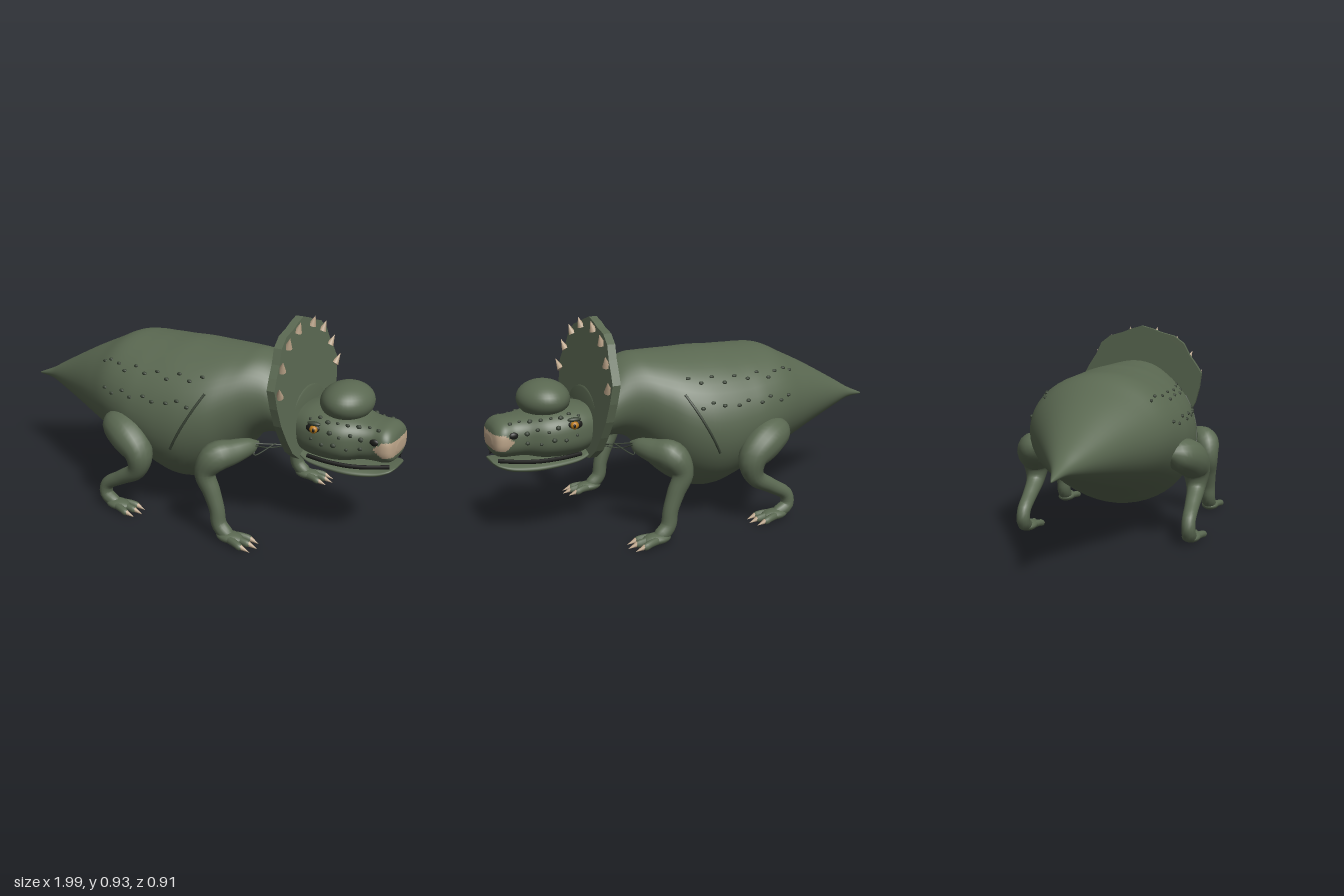
import * as THREE from 'three';
import { mergeVertices } from 'three/addons/utils/BufferGeometryUtils.js';

const mat = (name, color) => Object.assign(new THREE.MeshStandardMaterial({ color }), { name });
const V = (p) => new THREE.Vector3(...p);

// Body sections along x: [x, top y, bottom y, half width]
const BODY = [
  [-1, 0.432, 0.424, 0.003], [-0.9, 0.475, 0.418, 0.035], [-0.8, 0.53, 0.39, 0.085], [-0.6, 0.635, 0.325, 0.19],
  [-0.45, 0.705, 0.275, 0.27], [-0.33, 0.757, 0.235, 0.325], [-0.2, 0.763, 0.185, 0.36], [-0.1, 0.765, 0.14, 0.37],
  [0, 0.77, 0.108, 0.37], [0.1, 0.768, 0.125, 0.357], [0.2, 0.768, 0.19, 0.32], [0.28, 0.768, 0.29, 0.265],
  [0.35, 0.765, 0.37, 0.215], [0.42, 0.735, 0.4, 0.18], [0.5, 0.665, 0.4, 0.165], [0.57, 0.63, 0.4, 0.165],
];
const HEAD = [
  [0.55, 0.56, 0.38, 0.14], [0.62, 0.575, 0.355, 0.165], [0.7, 0.575, 0.35, 0.178], [0.78, 0.565, 0.355, 0.168],
  [0.85, 0.55, 0.37, 0.13], [0.9, 0.545, 0.372, 0.115], [0.95, 0.54, 0.375, 0.118], [0.98, 0.515, 0.39, 0.1],
  [0.992, 0.47, 0.43, 0.05],
];
const JAW = [
  [0.57, 0.385, 0.345, 0.12], [0.65, 0.365, 0.322, 0.148], [0.8, 0.358, 0.305, 0.148], [0.91, 0.356, 0.31, 0.118],
  [0.97, 0.362, 0.333, 0.088], [0.992, 0.364, 0.354, 0.05],
];

// Smooth section at parameter t
function sectionAt(rows, t) {
  const smooth = (pick) => new THREE.CatmullRomCurve3(rows.map(pick), false, 'catmullrom', 0.5).getPoint(t);
  const a = smooth((r) => V([r[0], r[1], r[2]]));
  return [a.x, a.y, a.z, Math.max(0.001, smooth((r) => V([r[3], 0, 0])).x)];
}

// Closed skin through the sections; power above 2 makes them boxier
function loft(rows, steps, sides, power = 2) {
  const pos = [], idx = [];
  const bend = (v) => Math.sign(v) * Math.abs(v) ** (2 / power);
  for (let i = 0; i <= steps; i++) {
    const [x, top, bot, w] = sectionAt(rows, i / steps);
    for (let j = 0; j < sides; j++) {
      const a = (j / sides) * Math.PI * 2;
      pos.push(x, (top + bot) / 2 + bend(Math.cos(a)) * (top - bot) / 2, bend(Math.sin(a)) * w);
      if (i < steps) {
        const p = i * sides + j, q = i * sides + (j + 1) % sides;
        idx.push(p, q, p + sides, q, q + sides, p + sides);
      }
    }
  }
  [0, steps].forEach((i, end) => {
    const [x, top, bot] = sectionAt(rows, i / steps), c = pos.length / 3;
    pos.push(x, (top + bot) / 2, 0);
    for (let j = 0; j < sides; j++) {
      const p = i * sides + j, q = i * sides + (j + 1) % sides;
      idx.push(...(end ? [c, p, q] : [c, q, p]));
    }
  });
  const g = new THREE.BufferGeometry();
  g.setAttribute('position', new THREE.Float32BufferAttribute(pos, 3));
  g.setIndex(idx);
  g.computeVertexNormals();
  return g;
}

// z of a lofted skin at x, y
function skinZ(rows, x, y, power = 2) {
  let lo = 0, hi = 1;
  for (let k = 0; k < 24; k++) {
    const m = (lo + hi) / 2;
    if (sectionAt(rows, m)[0] < x) lo = m; else hi = m;
  }
  const [, top, bot, w] = sectionAt(rows, lo);
  const d = Math.min(1, Math.abs(y - (top + bot) / 2) / ((top - bot) / 2));
  return w * (1 - d ** power) ** (1 / power);
}

// Tube whose radius varies: rows of [x, y, z, radius]
function limb(rows, steps = 40, sides = 16) {
  const curve = new THREE.CatmullRomCurve3(rows.map((r) => V(r.slice(0, 3))));
  const radii = new THREE.CatmullRomCurve3(rows.map((r) => V([r[3], 0, 0])), false, 'catmullrom', 0.5);
  let g = new THREE.TubeGeometry(curve, steps, 1, sides);
  const p = g.attributes.position, v = new THREE.Vector3();
  for (let i = 0; i < p.count; i++) {
    const u = Math.floor(i / (sides + 1)) / steps, c = curve.getPointAt(u);
    v.fromBufferAttribute(p, i).sub(c).multiplyScalar(radii.getPoint(curve.getUtoTmapping(u)).x).add(c);
    p.setXYZ(i, v.x, v.y, v.z);
  }
  g.deleteAttribute('uv');
  g.deleteAttribute('normal');
  g = mergeVertices(g, 1e-5);
  g.computeVertexNormals();
  return g;
}

export function createModel() {
  const root = new THREE.Group();
  const skin = mat('green skin', 0x5a6851), dark = mat('dark wart', 0x3a4436), horn = mat('horn', 0xb9a287);
  const amber = mat('amber eye', 0xb87a1c), black = mat('black', 0x1b1c1a);

  const add = (name, g, m) => {
    const mesh = new THREE.Mesh(g, m);
    mesh.name = name;
    root.add(mesh);
    return mesh;
  };
  const ball = (name, m, [x, y, z], [sx, sy, sz], seg = 10) => {
    const b = add(name, new THREE.SphereGeometry(1, seg * 2, seg), m);
    b.position.set(x, y, z);
    b.scale.set(sx, sy, sz);
    return b;
  };
  const spike = (name, base, tip, r) => {
    const a = V(base), d = V(tip).sub(a);
    const c = add(name, new THREE.ConeGeometry(r, d.length(), 12), horn);
    c.position.copy(a).addScaledVector(d, 0.5);
    c.quaternion.setFromUnitVectors(new THREE.Vector3(0, 1, 0), d.normalize());
  };
  const strand = (name, pts, r, m) =>
    add(name, new THREE.TubeGeometry(new THREE.CatmullRomCurve3(pts.map(V)), 20, r, 6), m);

  add('body', loft(BODY, 72, 48), skin);

  // Head, with the horn patch on the tip of the snout as a second material
  const head = loft(HEAD, 80, 72, 2.5), ix = head.index.array, hp = head.attributes.position;
  const faces = [[], []];
  for (let i = 0; i < ix.length; i += 3) {
    const f = [ix[i], ix[i + 1], ix[i + 2]];
    const x = f.reduce((s, k) => s + hp.getX(k), 0) / 3, y = f.reduce((s, k) => s + hp.getY(k), 0) / 3;
    const reach = 0.034 * THREE.MathUtils.clamp((x - 0.91) / 0.04, 0, 1);
    faces[Math.abs(y - 0.452) < reach ? 1 : 0].push(...f);
  }
  head.setIndex(faces.flat());
  head.addGroup(0, faces[0].length, 0);
  head.addGroup(faces[0].length, faces[1].length, 1);
  add('head', head, [skin, horn]);
  ball('skullDome', skin, [0.745, 0.6, 0], [0.112, 0.083, 0.142], 20);
  add('lowerJaw', loft(JAW, 40, 32), skin);

  // Neck frill, leaning back
  const half = [[0, 0.935], [0.06, 0.918], [0.1, 0.902], [0.17, 0.883], [0.22, 0.845], [0.25, 0.785], [0.285, 0.735],
    [0.312, 0.69], [0.3, 0.61], [0.278, 0.53], [0.24, 0.455], [0.2, 0.39], [0.14, 0.345], [0, 0.33]];
  const rim = [...half, ...half.slice(1, -1).reverse().map(([z, y]) => [-z, y])];
  const frill = new THREE.ExtrudeGeometry(new THREE.Shape(rim.map(([z, y]) => new THREE.Vector2(-z, y))),
    { depth: 0.036, bevelEnabled: false });
  frill.rotateY(Math.PI / 2);
  const lean = (y) => 0.487 + (0.935 - y) * 0.125;
  const fp = frill.attributes.position;
  for (let i = 0; i < fp.count; i++) fp.setX(i, fp.getX(i) + lean(fp.getY(i)));
  frill.computeVertexNormals();
  add('frill', frill, skin);

  const bodyWarts = [[-0.37, 0.655], [-0.33, 0.67], [-0.27, 0.665], [-0.22, 0.645], [-0.17, 0.67], [-0.11, 0.65],
    [-0.05, 0.665], [0.01, 0.645], [0.06, 0.67], [0.12, 0.65], [0.17, 0.67], [-0.31, 0.56], [-0.26, 0.545],
    [-0.2, 0.57], [-0.15, 0.55], [-0.08, 0.565], [-0.03, 0.55], [0.04, 0.555], [0.09, 0.57], [0.14, 0.55]];
  const headWarts = [[0.64, 0.54], [0.68, 0.55], [0.72, 0.54], [0.76, 0.54], [0.8, 0.535], [0.84, 0.53], [0.88, 0.53],
    [0.92, 0.525], [0.74, 0.505], [0.78, 0.49], [0.82, 0.5], [0.86, 0.485], [0.66, 0.465], [0.71, 0.45],
    [0.76, 0.455], [0.81, 0.44], [0.86, 0.445]];

  for (const s of [1, -1]) {
    const side = s > 0 ? 'left' : 'right';
    const flip = (pts) => pts.map(([x, y, z, ...r]) => [x, y, z * s, ...r]);

    // Frill spikes
    [[0.07, 0.882, 0.002], [0.168, 0.838, 0.012], [0.238, 0.758, 0.02], [0.278, 0.66, 0.03]].forEach(([z, y, out]) =>
      spike(side + 'FrillSpike', [lean(y) + 0.038, y, z * s], [lean(y) + 0.052, y + 0.046, (z + out) * s], 0.018));

    // Face
    ball(side + 'EyeSocket', black, [0.665, 0.51, 0.168 * s], [0.032, 0.02, 0.012]);
    ball(side + 'Eye', amber, [0.672, 0.51, 0.178 * s], [0.018, 0.017, 0.016]);
    ball(side + 'Pupil', black, [0.677, 0.51, 0.191 * s], [0.006, 0.009, 0.004]);
    ball(side + 'Brow', dark, [0.67, 0.533, 0.17 * s], [0.03, 0.01, 0.014]);
    ball(side + 'Nostril', black, [0.915, 0.48, 0.112 * s], [0.02, 0.015, 0.01]);
    strand(side + 'MouthLine', flip([[0.635, 0.374, 0.148], [0.72, 0.368, 0.152], [0.82, 0.364, 0.138],
      [0.9, 0.366, 0.11], [0.975, 0.372, 0.075]]), 0.009, black);

    // Warts and the shoulder crease
    bodyWarts.forEach(([x, y], i) =>
      ball(side + 'BodyWart', dark, [x, y, skinZ(BODY, x, y) * s], [0.012, 0.008, 0.007 + 0.002 * (i % 2)], 5));
    headWarts.forEach(([x, y], i) => {
      const r = 0.008 + 0.002 * (i % 3);
      ball(side + 'HeadWart', dark, [x, y, skinZ(HEAD, x, y, 2.5) * s], [r, r * 0.85, r * 0.8], 5);
    });
    strand(side + 'ShoulderCrease', flip([0, 0.25, 0.5, 0.75, 1].map((k) => {
      const x = 0.065 + 0.14 * k, y = 0.345 + 0.265 * k;
      return [x, y, skinZ(BODY, x, y)];
    })), 0.006, dark);

    // Legs
    add(side + 'FrontLeg', limb(flip([[0.43, 0.41, 0.2, 0.004], [0.41, 0.4, 0.235, 0.035], [0.36, 0.385, 0.31, 0.055],
      [0.31, 0.37, 0.37, 0.065], [0.275, 0.3, 0.392, 0.047], [0.305, 0.22, 0.388, 0.039], [0.332, 0.14, 0.386, 0.034],
      [0.345, 0.07, 0.386, 0.034], [0.39, 0.032, 0.388, 0.03], [0.43, 0.025, 0.388, 0.004]])), skin);
    add(side + 'HindLeg', limb(flip([[-0.3, 0.42, 0.28, 0.004], [-0.25, 0.405, 0.325, 0.065], [-0.16, 0.375, 0.365, 0.082],
      [-0.08, 0.305, 0.385, 0.066], [-0.09, 0.225, 0.388, 0.044], [-0.18, 0.165, 0.386, 0.034], [-0.265, 0.11, 0.385, 0.031],
      [-0.27, 0.06, 0.386, 0.031], [-0.22, 0.032, 0.388, 0.028], [-0.17, 0.025, 0.388, 0.004]])), skin);
    for (const [name, x] of [['Front', 0.4], ['Hind', -0.2]]) {
      ball(side + name + 'Foot', skin, [x, 0.026, 0.388 * s], [0.065, 0.024, 0.043]);
      for (const k of [-1, 0, 1]) {
        const z = 0.39 + 0.043 * k, tip = x + (k ? 0.085 : 0.1);
        add(side + name + 'Toe', limb(flip([[x, 0.026, 0.388 + 0.02 * k, 0.018], [x + 0.05, 0.024, z - 0.006 * k, 0.016],
          [tip - 0.01, 0.018, z, 0.015], [tip + 0.008, 0.016, z, 0.003]]), 12, 10), skin);
        spike(side + name + 'Claw', [tip - 0.008, 0.019, z * s], [tip + 0.036, 0.006, z * s], 0.012);
      }
    }

    // Thin tendons between shoulder and neck
    [[[0.4, 0.42, 0.27], [0.53, 0.4, 0.15]], [[0.44, 0.41, 0.25], [0.47, 0.38, 0.17], [0.56, 0.4, 0.12]],
      [[0.43, 0.4, 0.22], [0.44, 0.37, 0.26], [0.5, 0.41, 0.18]]].forEach((p) =>
      strand(side + 'Tendon', flip(p), 0.003, dark));
  }
  return root;
}
